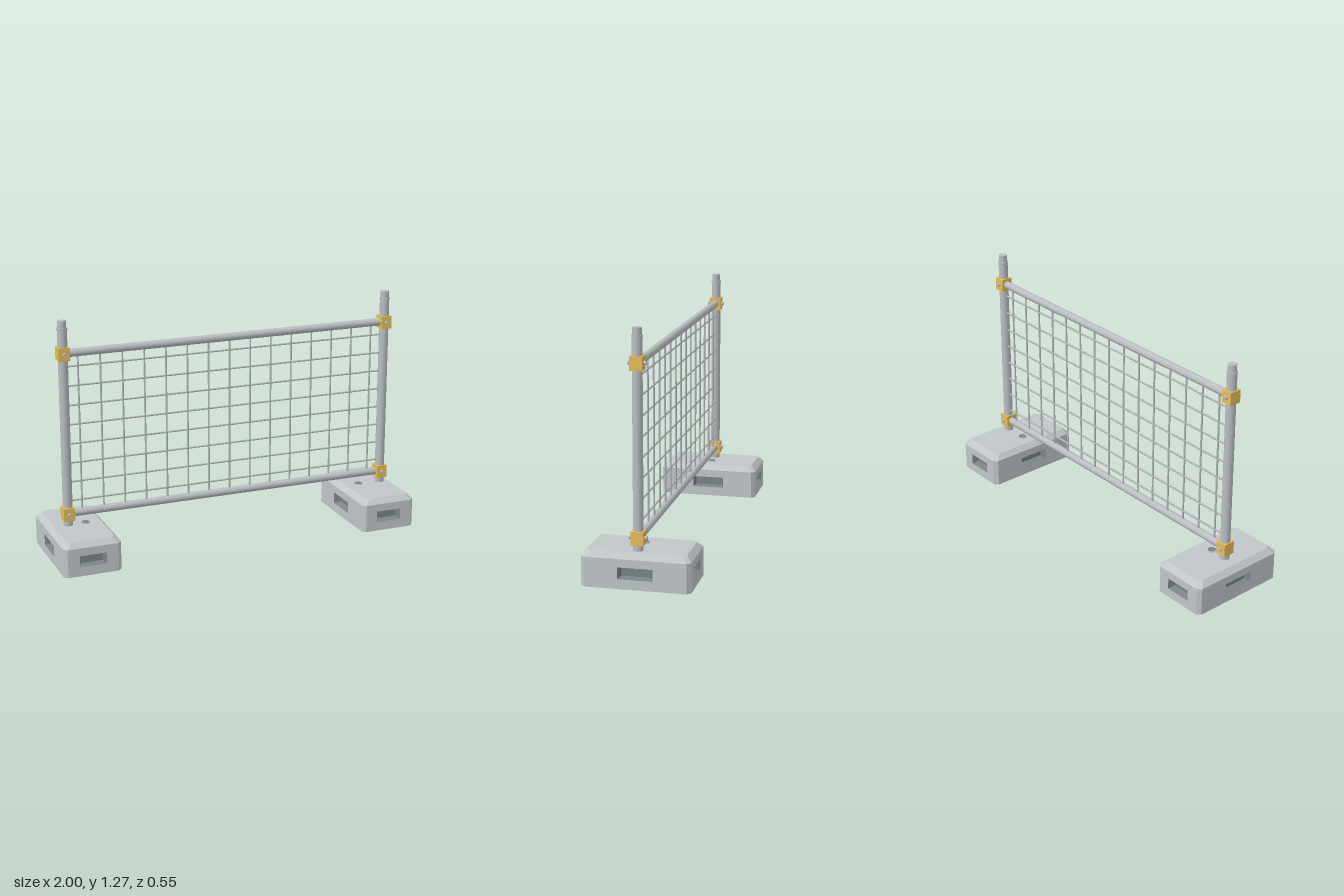
import * as THREE from 'three';

const mat = (name, color) => {
  const m = new THREE.MeshStandardMaterial({ color });
  m.name = name;
  return m;
};

export function createModel() {
  const steel = mat('galvanised steel', 0xb9bdc1);
  const wireSteel = mat('mesh wire', 0xb4b8ba);
  const brass = mat('clamp yellow', 0xe6bd58);
  const concrete = mat('concrete grey', 0xc1c6c9);
  const recess = mat('recess grey', 0x7a8486);

  const root = new THREE.Group();
  root.name = 'fencePanel';

  const add = (parent, name, geometry, material, x = 0, y = 0, z = 0) => {
    const m = new THREE.Mesh(geometry, material);
    m.name = name;
    m.position.set(x, y, z);
    parent.add(m);
    return m;
  };
  const tube = (r, h, sides = 20) => new THREE.CylinderGeometry(r, r, h, sides);

  // Flat-faced skin between equal rings of points; the last ring is capped
  const loft = (rings) => {
    const pos = [];
    const tri = (...pts) => pts.forEach((p) => pos.push(...p));
    const n = rings[0].length;
    for (let k = 0; k < rings.length - 1; k++) {
      for (let i = 0; i < n; i++) {
        const j = (i + 1) % n;
        const [a, b, c, d] = [rings[k][i], rings[k][j], rings[k + 1][j], rings[k + 1][i]];
        tri(a, b, c);
        tri(a, c, d);
      }
    }
    const last = rings[rings.length - 1];
    for (let i = 1; i < n - 1; i++) tri(last[0], last[i], last[i + 1]);
    const g = new THREE.BufferGeometry();
    g.setAttribute('position', new THREE.Float32BufferAttribute(pos, 3));
    g.computeVertexNormals();
    return g;
  };

  // Ballast block dimensions
  const W = 0.155, D = 0.275, H = 0.18, EDGE = 0.152, C = 0.02;
  const Y0 = 0.05, Y1 = 0.11;

  // Chamfered rectangle, anticlockwise seen from above
  const outline = (w, d, y) => [
    [w, y, d - C], [w, y, -d + C], [w - C, y, -d], [-w + C, y, -d],
    [-w, y, -d + C], [-w, y, d - C], [-w + C, y, d], [w - C, y, d],
  ];
  const rect = (w, y0, y1, z) => [[-w, y0, z], [w, y0, z], [w, y1, z], [-w, y1, z]];

  const makeBlock = (name, x, holeX) => {
    const block = new THREE.Group();
    block.name = name;
    block.position.x = x;
    root.add(block);

    // Sloping top edge, top face and underside
    add(block, 'blockTop', loft([outline(W, D, EDGE), outline(W - 0.027, D - 0.027, H)]), concrete);
    add(block, 'blockUnderside', loft([outline(W, D, 0).reverse()]), concrete);

    // Corner chamfers
    const low = outline(W, D, 0), high = outline(W, D, EDGE);
    for (let i = 1; i < 8; i += 2) {
      const j = (i + 1) % 8;
      add(block, 'blockCorner', loft([[low[i], low[j], high[j], high[i]]]), concrete);
    }

    // Four sides, each with a recessed handhold
    for (let k = 0; k < 4; k++) {
      const long = k % 2 === 1;
      const half = (long ? D : W) - C;
      const dist = long ? W : D;
      const slot = long ? 0.088 : 0.072;
      const side = new THREE.Group();
      side.name = 'blockSide';
      side.rotation.y = (k * Math.PI) / 2;
      block.add(side);

      const face = new THREE.Shape();
      face.moveTo(-half, 0).lineTo(half, 0).lineTo(half, EDGE).lineTo(-half, EDGE).closePath();
      const hole = new THREE.Path();
      hole.moveTo(-slot, Y0).lineTo(-slot, Y1).lineTo(slot, Y1).lineTo(slot, Y0).closePath();
      face.holes.push(hole);
      add(side, 'sideFace', new THREE.ShapeGeometry(face), concrete, 0, 0, dist);
      add(side, 'handhold', loft([
        rect(slot, Y0, Y1, dist),
        rect(slot - 0.012, Y0 + 0.008, Y1 - 0.007, dist - 0.035),
      ]), recess);
    }

    // Spare post socket
    add(block, 'socketRim', tube(0.026, 0.006), concrete, holeX - x, H, 0);
    add(block, 'socketHole', tube(0.021, 0.004), recess, holeX - x, H + 0.002, 0);
  };
  makeBlock('leftBlock', 0.845, 0.795);
  makeBlock('rightBlock', -0.845, -0.8);

  // Panel frame
  const XL = -0.894, XR = 0.925, MID = (XL + XR) / 2, SPAN = XR - XL;
  const LOW = 0.244, HIGH = 1.104;

  for (const [name, x] of [['rightPost', XL], ['leftPost', XR]]) {
    const post = new THREE.Group();
    post.name = name;
    post.position.x = x;
    root.add(post);
    add(post, 'postTube', tube(0.0255, 1.08, 24), steel, 0, 0.695, 0);
    add(post, 'postCollar', tube(0.028, 0.01, 24), steel, 0, 1.233, 0);
    add(post, 'postSpigot', tube(0.0225, 0.04, 24), steel, 0, 1.255, 0);

    // Corner clamps with a bolt through each
    for (const y of [LOW, HIGH]) {
      add(post, 'clamp', new THREE.BoxGeometry(0.06, 0.07, 0.064), brass, 0, y, 0);
      const bolt = add(post, 'bolt', tube(0.01, 0.092, 16), steel, 0, y, 0);
      bolt.rotation.x = Math.PI / 2;
    }
  }

  for (const [name, y] of [['bottomRail', LOW], ['topRail', HIGH]]) {
    add(root, name, tube(0.021, SPAN, 24), steel, MID, y, 0).rotation.z = Math.PI / 2;
  }

  // Wire mesh infill
  const mesh = new THREE.Group();
  mesh.name = 'wireMesh';
  root.add(mesh);
  const upright = tube(0.005, HIGH - LOW, 8);
  for (let i = 0; i < 15; i++) {
    add(mesh, 'verticalWire', upright, wireSteel, -0.816 + i * 0.1186, (LOW + HIGH) / 2, 0);
  }
  const cross = tube(0.005, SPAN, 8);
  for (let i = 0; i < 8; i++) {
    add(mesh, 'horizontalWire', cross, wireSteel, MID, 0.312 + i * 0.1031, 0).rotation.z = Math.PI / 2;
  }

  return root;
}
